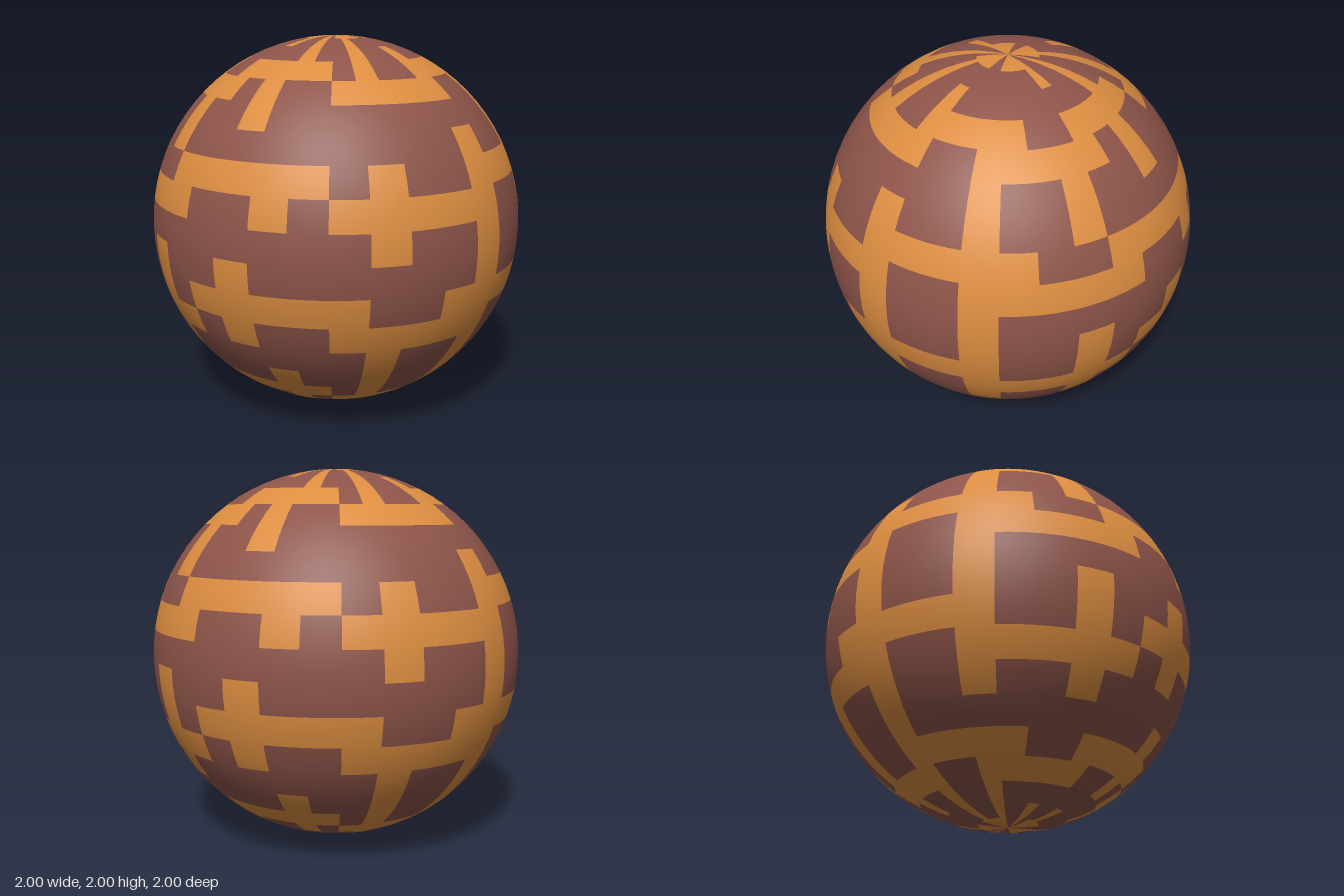
import * as THREE from 'three';
import { mergeGeometries } from 'three/addons/utils/BufferGeometryUtils.js';

// Plaid pattern from the top pole down: '#' is orange, '.' is brown.
// Sixteen columns cover half the ball and repeat on the other half.
const ROWS = [
  '#.#####..#####..',
  '#..#.........#..',
  '#..#..#.........',
  '##.#..#####..###',
  '..#####..#####.#',
  '.........#..#..#',
  '......#..#..#...',
  '##.#..#####..###',
  '#.#####..#####..',
  '...#..#..#......',
  '......#..#..#..#',
  '###..#####..#.##',
  '..#####..#####.#',
  '...#..#..#..#...',
  '#..#..#.........',
  '##.#..#####..###',
  '#.#####..#####..',
  '...#..#..#......',
  '......#..#..#..#',
  '###..#####..#.##',
];
const COLUMNS = 32;

// One cell of the ball, with smooth radial normals; column 0 starts at the front.
function cell(row, column) {
  const dLon = (Math.PI * 2) / COLUMNS;
  const dLat = Math.PI / ROWS.length;
  return new THREE.SphereGeometry(1, 1, 1, Math.PI / 2 + column * dLon, dLon, row * dLat, dLat);
}

export function createModel() {
  const orange = new THREE.MeshStandardMaterial({ color: 0xdc8d40 });
  orange.name = 'orange';
  const brown = new THREE.MeshStandardMaterial({ color: 0x8d5449 });
  brown.name = 'brown';

  // Sort the cells by colour
  const bands = [];
  const patches = [];
  ROWS.forEach((line, row) => {
    for (let column = 0; column < COLUMNS; column++) {
      const target = line[column % line.length] === '#' ? bands : patches;
      target.push(cell(row, column));
    }
  });

  const ball = new THREE.Group();
  ball.name = 'ball';
  const add = (name, cells, material) => {
    const mesh = new THREE.Mesh(mergeGeometries(cells), material);
    mesh.name = name;
    mesh.position.y = 1;
    ball.add(mesh);
  };
  add('orangeBands', bands, orange);
  add('brownPatches', patches, brown);
  return ball;
}
